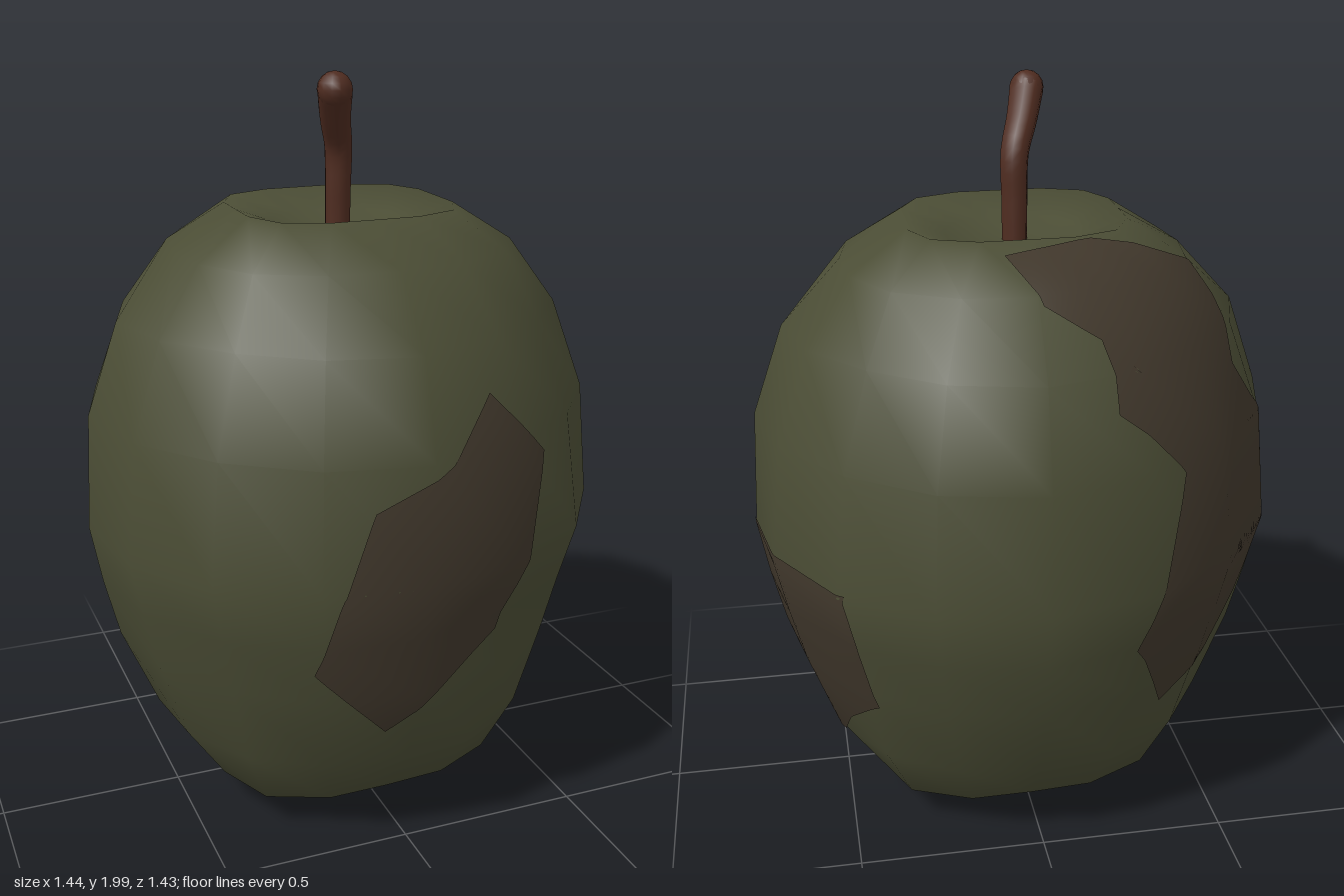
import * as THREE from 'three';
import { mergeVertices } from 'three/addons/utils/BufferGeometryUtils.js';

const paint = (color) => new THREE.MeshStandardMaterial({ color });

// Low-poly fruit: 16-sided lathe whose rings bulge or shrink on the diagonals
function makeBody() {
  // Each ring: radius, height, extra reach of its diagonals
  const rings = [
    [0, 0.02, 0], [0.19, 0.005, 0.16], [0.41, 0.11, 0.14], [0.55, 0.28, 0.02], [0.65, 0.51, -0.03],
    [0.69, 0.67, -0.02], [0.72, 0.83, 0], [0.705, 1.14, -0.04], [0.62, 1.38, -0.06], [0.46, 1.55, 0.06],
    [0.29, 1.647, 0.16], [0.18, 1.598, 0.1], [0.09, 1.575, 0], [0, 1.57, 0],
  ];
  let geo = new THREE.LatheGeometry(rings.map(([r, y]) => new THREE.Vector2(r, y)), 16);
  const p = geo.attributes.position;
  for (let i = 0; i < p.count; i++) {
    let x = p.getX(i), z = p.getZ(i);
    const y = p.getY(i), reach = rings[i % rings.length][2];
    const square = 1 + reach * Math.sin(2 * Math.atan2(x, z)) ** 2;
    // Slightly longer from right-front to left-back corner
    [x, z] = [square * (x - 0.04 * z), square * (z - 0.04 * x)];
    // Shallow dent low on the front
    const d = ((x - 0.1) / 0.25) ** 2 + ((y - 0.67) / 0.13) ** 2;
    if (z > 0.3) z -= 0.055 * Math.exp(-d);
    p.setXYZ(i, x, y, z);
  }
  geo.deleteAttribute('uv');
  geo.deleteAttribute('normal');
  geo = mergeVertices(geo, 1e-4);
  geo.computeVertexNormals();
  const body = new THREE.Mesh(geo, paint(0x4b4d35));
  body.name = 'fruitBody';
  return body;
}

// Flush skin patch: an outline dropped onto the body along a direction
function makePatch(name, body, outline, azimuth, elevation) {
  const dir = new THREE.Vector3(
    Math.sin(azimuth) * Math.cos(elevation), Math.sin(elevation), Math.cos(azimuth) * Math.cos(elevation));
  const right = new THREE.Vector3(Math.cos(azimuth), 0, -Math.sin(azimuth));
  const up = new THREE.Vector3().crossVectors(dir, right);
  const contour = outline.map(([u, v]) => new THREE.Vector2(u, v));
  if (THREE.ShapeUtils.isClockWise(contour)) contour.reverse();

  const ray = new THREE.Raycaster();
  const drop = (q) => {
    const from = right.clone().multiplyScalar(q.x).addScaledVector(up, q.y).addScaledVector(dir, 5);
    ray.set(from, dir.clone().negate());
    const hit = ray.intersectObject(body)[0];
    return hit && { point: hit.point.addScaledVector(hit.normal, 0.004), normal: hit.normal };
  };

  const pos = [], nor = [], n = 20;
  for (const tri of THREE.ShapeUtils.triangulateShape(contour, [])) {
    const [a, b, c] = tri.map((i) => contour[i]);
    const at = (i, j) => drop(new THREE.Vector2(
      a.x + ((b.x - a.x) * i + (c.x - a.x) * j) / n,
      a.y + ((b.y - a.y) * i + (c.y - a.y) * j) / n));
    const add = (...corners) => {
      if (!corners.every(Boolean)) return;
      for (const k of corners) {
        pos.push(...k.point.toArray());
        nor.push(...k.normal.toArray());
      }
    };
    for (let i = 0; i < n; i++) {
      for (let j = 0; j < n - i; j++) {
        add(at(i, j), at(i + 1, j), at(i, j + 1));
        if (i + j < n - 1) add(at(i + 1, j), at(i + 1, j + 1), at(i, j + 1));
      }
    }
  }
  const geo = new THREE.BufferGeometry();
  geo.setAttribute('position', new THREE.Float32BufferAttribute(pos, 3));
  geo.setAttribute('normal', new THREE.Float32BufferAttribute(nor, 3));
  const patch = new THREE.Mesh(geo, paint(0x41382c));
  patch.name = name;
  return patch;
}

// Bent stem, a little thicker towards its rounded tip
function makeStem() {
  const stem = new THREE.Group();
  stem.name = 'stem';
  const material = paint(0x4f2c20);
  const path = new THREE.CatmullRomCurve3([
    [-0.01, 1.56, 0.02], [-0.01, 1.68, 0.022], [-0.012, 1.8, 0.03], [-0.04, 1.88, 0.08], [-0.063, 1.951, 0.137],
  ].map((q) => new THREE.Vector3(...q)));
  const geo = new THREE.TubeGeometry(path, 16, 0.034, 10);
  const p = geo.attributes.position, v = new THREE.Vector3();
  for (let i = 0; i < p.count; i++) {
    const t = geo.attributes.uv.getX(i), centre = path.getPointAt(t);
    v.fromBufferAttribute(p, i).sub(centre).multiplyScalar(1 + 0.35 * t * t).add(centre);
    p.setXYZ(i, v.x, v.y, v.z);
  }
  geo.computeVertexNormals();
  const stalk = new THREE.Mesh(geo, material);
  stalk.name = 'stemStalk';
  const tip = new THREE.Mesh(new THREE.SphereGeometry(0.046, 12, 8), material);
  tip.name = 'stemTip';
  tip.position.copy(path.getPointAt(1));
  stem.add(stalk, tip);
  return stem;
}

export function createModel() {
  const model = new THREE.Group();
  model.name = 'fruit';
  const body = makeBody();
  const rad = THREE.MathUtils.degToRad;

  // Bruised patches on the front, the side and the back
  const front = [[-0.3, 0.6], [-0.25, 0.82], [-0.17, 1.03], [0.02, 1.13], [0.15, 1.27],
    [0.33, 1.09], [0.27, 0.84], [0.2, 0.63], [0.03, 0.51], [-0.1, 0.39]];
  const side = [[0.02, 0.84], [0.3, 0.85], [0.54, 0.84], [0.47, 0.47], [0.33, 0.36],
    [0.18, 0.2], [0.07, 0.32], [0.03, 0.5]];
  const back = [[-0.26, 1.32], [-0.04, 1.3], [0.26, 1.18], [0.3, 1.08], [0.28, 0.89], [0.35, 0.79],
    [0.46, 0.68], [0.41, 0.5], [0.31, 0.29], [0.16, 0.17], [-0.02, 0.1], [-0.19, 0.29],
    [-0.05, 0.68], [-0.22, 0.87], [-0.19, 1.05], [-0.28, 1.17]];
  model.add(
    body,
    makePatch('frontPatch', body, front, 0, 0),
    makePatch('sidePatch', body, side, rad(90), 0),
    makePatch('backPatch', body, back, rad(215), rad(28)),
    makeStem(),
  );
  return model;
}
